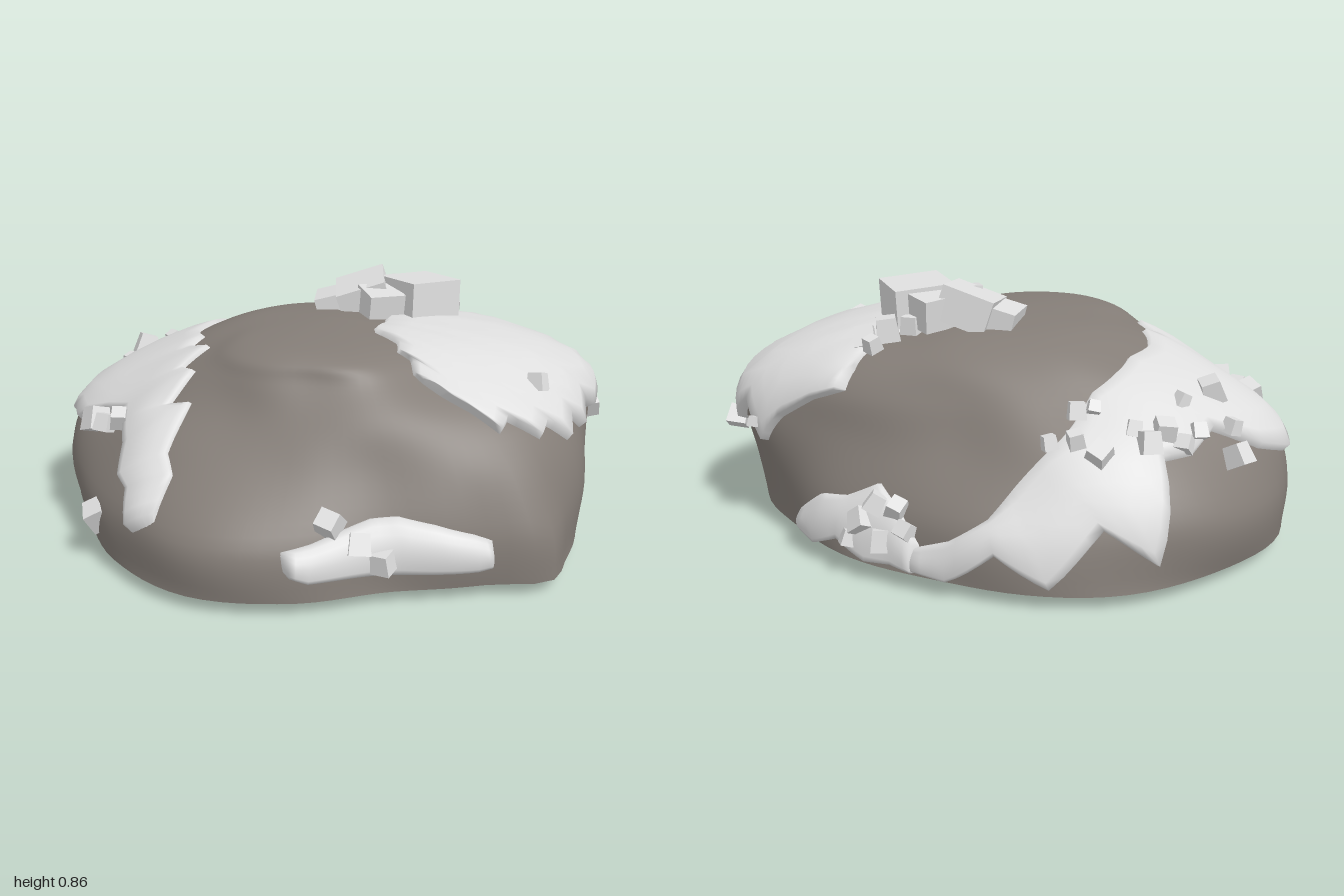
import * as THREE from 'three';

// Rock contour rings from the crown down to the foot: height, then radius every 22.5 degrees from +x towards +z
const HEIGHTS = [0.735, 0.72, 0.69, 0.63, 0.53, 0.40, 0.22, 0.045];
const RADII = [
  [.21, .20, .22, .27, .30, .31, .27, .23, .22, .23, .23, .22, .22, .21, .20, .20],
  [.40, .38, .37, .40, .40, .42, .40, .36, .36, .37, .36, .35, .36, .38, .38, .42],
  [.66, .57, .48, .46, .44, .46, .48, .48, .51, .50, .48, .46, .47, .52, .60, .67],
  [.84, .76, .64, .56, .51, .53, .58, .62, .70, .67, .61, .57, .55, .60, .75, .90],
  [.90, .86, .76, .62, .62, .66, .73, .78, .89, .83, .77, .69, .62, .66, .80, .97],
  [.91, .92, .82, .72, .77, .85, .86, .88, .97, .94, .89, .81, .76, .76, .82, .95],
  [.90, .92, .82, .74, .79, .87, .86, .87, .95, .93, .91, .84, .79, .79, .83, .91],
];

const spline = (p, q, r, s, t) =>
  0.5 * (2 * q + (r - p) * t + (2 * p - 5 * q + 4 * r - s) * t * t + (3 * q - p - 3 * r + s) * t * t * t);

function ringRadius(k, deg) {
  if (k === 0) return 0;
  const row = RADII[Math.min(Math.abs(k), 7) - 1];
  const f = (((deg % 360) + 360) % 360) / 22.5, i = Math.floor(f);
  const at = (n) => row[(n + 16) % 16];
  return Math.sign(k) * spline(at(i - 1), at(i), at(i + 1), at(i + 2), f - i);
}

// Point on the rock at an angle and a ring level (0 crown, 7 foot)
function rockPoint(deg, s) {
  const k = Math.min(6, Math.max(0, Math.floor(s))), t = s - k;
  const h = (n) => HEIGHTS[Math.min(7, Math.abs(n))];
  const mix = (f) => spline(f(k - 1), f(k), f(k + 1), f(k + 2), t);
  const a = THREE.MathUtils.degToRad(deg);
  // Spur at the front left corner of the foot
  const spur = 0.07 * Math.exp(-(((deg - 33) / 7) ** 2)) * THREE.MathUtils.smoothstep(s, 4.5, 6.5);
  const r = mix((n) => ringRadius(n, deg)) * (1 + 0.008 * Math.sin(a * 7 + s * 2.3)) + spur;
  return new THREE.Vector3(r * Math.cos(a), mix(h), r * Math.sin(a));
}

function rockNormal(deg, s) {
  const c = Math.min(6.9, Math.max(0.15, s));
  const da = rockPoint(deg + 2, c).sub(rockPoint(deg - 2, c));
  const ds = rockPoint(deg, c + 0.1).sub(rockPoint(deg, c - 0.1));
  return da.cross(ds).normalize();
}

// Grid of points from a rule; wrap closes it into a ring
function gridGeometry(rows, cols, rule, wrap = false) {
  const pos = [], index = [];
  for (let i = 0; i < rows; i++) for (let j = 0; j < cols; j++) pos.push(...rule(i, j).toArray());
  for (let i = 0; i < (wrap ? rows : rows - 1); i++) {
    const n = (i + 1) % rows;
    for (let j = 0; j < cols - 1; j++) {
      const a = i * cols + j, b = n * cols + j;
      index.push(a, b, a + 1, b, b + 1, a + 1);
    }
  }
  const g = new THREE.BufferGeometry();
  g.setAttribute('position', new THREE.Float32BufferAttribute(pos, 3));
  g.setIndex(index);
  g.computeVertexNormals();
  return g;
}

// Snow sheet between two edges lying on the rock: rows of [angle, level, angle, level]
function snowGeometry(edges, thick) {
  const across = [0, 0.03, 0.15, 0.3, 0.45, 0.6, 0.75, 0.88, 0.97, 1];
  const steps = 4, rows = (edges.length - 1) * steps + 1;
  return gridGeometry(rows, across.length, (i, j) => {
    const k = Math.min(edges.length - 2, Math.floor(i / steps)), f = i / steps - k;
    const e = edges[k].map((v, n) => THREE.MathUtils.lerp(v, edges[k + 1][n], f));
    const t = across[j];
    const deg = THREE.MathUtils.lerp(e[0], e[2], t), s = THREE.MathUtils.lerp(e[1], e[3], t);
    const rim = i === 0 || i === rows - 1 || j === 0 || j === across.length - 1;
    const lift = rim ? -0.01 : thick * (0.35 + 0.35 * t + 0.3 * Math.sin(Math.PI * t));
    return rockPoint(deg, s).addScaledVector(rockNormal(deg, s), lift);
  });
}

export function createModel() {
  const model = new THREE.Group();
  model.name = 'snowyRock';
  const material = (name, color, side = THREE.FrontSide) => {
    const m = new THREE.MeshStandardMaterial({ color, side });
    m.name = name;
    return m;
  };
  const stone = material('stone', 0x847d77);
  const snow = material('snow', 0xdedede, THREE.DoubleSide);
  const add = (name, geometry, mat, parent = model) => {
    const mesh = new THREE.Mesh(geometry, mat);
    mesh.name = name;
    parent.add(mesh);
    return mesh;
  };

  // Rock body and its shallow underside
  add('rockBody', gridGeometry(90, 43, (i, j) => rockPoint(i * 4, j / 6), true), stone);
  add('rockUnderside', gridGeometry(90, 4, (i, j) => {
    const p = rockPoint(i * 4, 7), f = [1, 0.75, 0.4, 0][j];
    return new THREE.Vector3(p.x * f, [p.y, 0.018, 0.004, 0][j], p.z * f);
  }, true), stone);

  // Snow sheets, with ragged edges
  const sheets = {
    rightSideSnow: [0.04, [
      [121, 5.9, 127, 6.2], [123, 5.2, 133, 5.6], [128, 4.9, 138, 5.5], [133, 3.9, 143, 5.1],
      [140, 4.1, 150, 4.8], [143, 3.2, 156, 4.7], [151, 3.3, 163, 4.9], [153, 2.5, 170, 5.3],
      [164, 2.9, 175, 5.2], [170, 2.5, 180, 5.5], [185, 2.8, 190, 5.2], [203, 2.9, 199, 4.7],
      [214, 3.2, 208, 5.0], [225, 3.6, 216, 5.0], [234, 4.2, 222, 6.5], [243, 4.8, 232, 5.9],
      [250, 5.3, 243, 6.8], [256, 5.8, 254, 6.3], [265, 6.2, 265, 6.9], [277, 6.5, 277, 6.8]]],
    leftSideSnow: [0.045, [
      [-53, 3.4, -55, 3.9], [-50, 3.0, -47, 4.3], [-45, 2.4, -40, 4.9], [-40, 2.0, -36, 5.5],
      [-33, 1.6, -30, 4.8], [-26, 1.3, -24, 5.4], [-18, 1.0, -16, 4.7], [-8, 0.9, -8, 5.0],
      [2, 0.9, 0, 4.5], [10, 0.9, 5, 5.0], [17, 0.9, 11, 4.5], [25, 0.9, 16, 4.9],
      [33, 1.0, 21, 4.4], [35, 1.6, 25, 4.6], [42, 1.9, 30, 4.1], [40, 2.3, 34, 4.3],
      [44, 2.8, 37, 3.8], [43, 3.1, 41, 3.4]]],
    frontLedgeSnow: [0.06, [
      [43, 6.1, 43, 6.45], [47, 5.95, 47, 6.5], [55, 5.75, 54, 6.5], [63, 5.62, 63, 6.5],
      [70, 5.65, 70, 6.5], [78, 5.8, 78, 6.5], [85, 5.95, 86, 6.5], [92, 6.05, 91, 6.35]]],
    backLedgeSnow: [0.045, [
      [272, 6.4, 272, 6.9], [279, 5.9, 279, 6.8], [287, 5.6, 286, 6.9], [295, 5.9, 295, 6.6],
      [303, 6.0, 303, 6.9], [312, 6.5, 312, 6.7]]],
  };
  for (const [name, [thick, edges]] of Object.entries(sheets)) add(name, snowGeometry(edges, thick), snow);

  // Small ice cubes sitting on the snow
  let seed = 7;
  const rand = () => (seed = (seed * 16807) % 2147483647) / 2147483647;
  const cube = new THREE.BoxGeometry(1, 1, 1);
  const cp = cube.attributes.position;
  for (let i = 0; i < cp.count; i++) {
    if (cp.getY(i) > 0) cp.setXYZ(i, cp.getX(i) * 0.8, cp.getY(i), cp.getZ(i) * 0.85);
  }
  cube.computeVertexNormals();
  const cubes = new THREE.Group();
  cubes.name = 'iceCubes';
  model.add(cubes);
  function placeCube(deg, s, size, lift) {
    const m = add('iceCube', cube, snow, cubes);
    m.position.copy(rockPoint(deg, s)).addScaledVector(rockNormal(deg, s), lift);
    m.rotation.set(rand() * 1.2 - 0.6, rand() * 3, rand() * 1.2 - 0.6);
    m.scale.setScalar(size);
  }
  // Cubes on the upper slopes: x, z, size
  [[-.48, -.58, .07], [-.40, -.57, .05], [-.33, -.60, .045], [-.38, -.50, .055], [-.60, -.48, .07],
    [-.63, -.41, .07], [-.69, -.40, .05], [-.55, -.46, .05], [-.42, -.46, .04], [-.83, -.28, .07],
    [-.80, -.22, .05], [-.72, -.15, .075], [-.65, -.27, .045], [-.72, -.33, .05], [-.76, .28, .08],
    [-.71, .33, .06], [-.65, .36, .06], [.40, -.40, .07], [.34, -.35, .08], [.35, -.44, .05],
    [.27, -.32, .06], [.73, .18, .06], [.93, -.36, .07], [.76, -.52, .035]].forEach(([x, z, size]) => {
    const deg = THREE.MathUtils.radToDeg(Math.atan2(z, x)), r = Math.hypot(x, z);
    let s = 0;
    while (s < 5.3 && Math.hypot(rockPoint(deg, s).x, rockPoint(deg, s).z) < r - 0.02) s += 0.05;
    placeCube(deg, s, size, 0.03 + size * 0.1);
  });
  // Cubes on the steep sides: angle, level, size, lift
  [[81, 5.7, .075, .03], [74, 6.0, .07, .05], [68, 6.25, .065, .05], [144, 6.3, .085, -.01],
    [276, 6.2, .06, .01], [279, 5.9, .06, .02], [282, 6.4, .07, .02], [285, 5.9, .06, .03],
    [288, 6.2, .07, .03], [291, 6.5, .05, .03]].forEach((c) => placeCube(...c));

  // Large ice blocks on the crown: position, size, rotation
  [[.10, .765, -.20, .18, .12, .20, .1, .15, .3], [.30, .775, -.19, .21, .13, .20, -.06, .75, -.02],
    [.17, .755, -.10, .13, .12, .13, .15, .5, -.1], [.20, .765, -.26, .16, .11, .13, -.2, 1.0, .1],
    [.01, .745, -.19, .16, .08, .16, 0, .1, .25]].forEach(([x, y, z, w, h, d, rx, ry, rz]) => {
    const block = add('iceBlock', new THREE.BoxGeometry(w, h, d), snow);
    block.position.set(x, y, z);
    block.rotation.set(rx, ry, rz);
  });
  return model;
}
